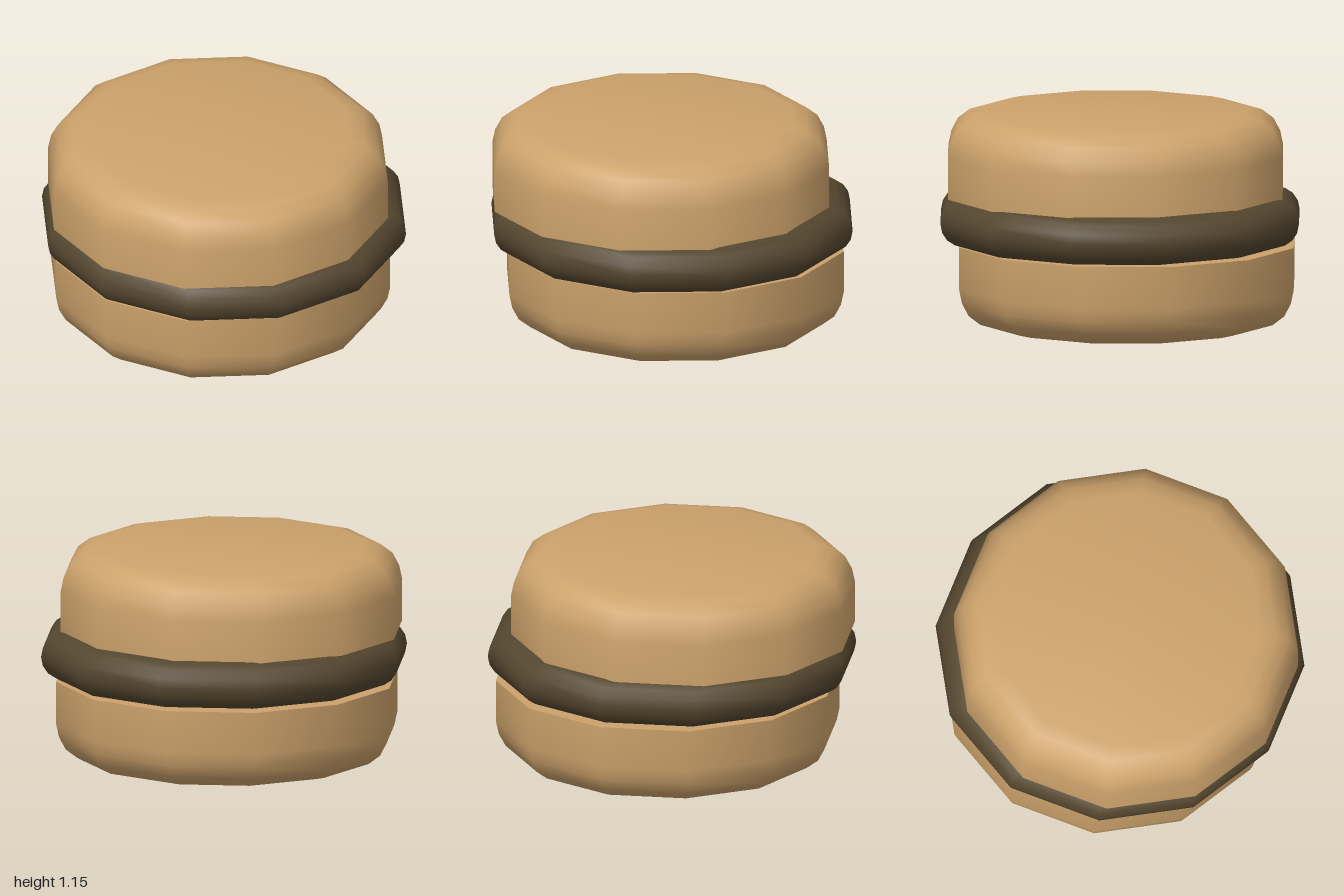
import * as THREE from 'three';
import { toCreasedNormals } from 'three/addons/utils/BufferGeometryUtils.js';

const SIDES = 12;

// Turned solid: profile runs from the bottom centre to the top centre
function turned(name, profile, material) {
  const points = profile.map(([r, y]) => new THREE.Vector2(r, y));
  const geometry = toCreasedNormals(new THREE.LatheGeometry(points, SIDES), 0.85);
  const mesh = new THREE.Mesh(geometry, material);
  mesh.name = name;
  return mesh;
}

export function createModel() {
  const group = new THREE.Group();
  group.name = 'sandwichCookie';
  const biscuit = new THREE.MeshStandardMaterial({ color: 0xcca26b });
  const cream = new THREE.MeshStandardMaterial({ color: 0x54462f });

  // Biscuit half: flat inner face, straight wall, rounded outer rim
  const half = [
    [0, 0], [0.933, 0], [0.933, 0.23], [0.917, 0.305], [0.88, 0.375],
    [0.815, 0.425], [0.73, 0.447], [0, 0.447],
  ];
  const topBiscuit = turned('topBiscuit', half, biscuit);
  topBiscuit.position.set(-0.06, 0.7, 0.01);

  // Lower half is the same shape turned over
  const bottomBiscuit = turned('bottomBiscuit', half, biscuit);
  bottomBiscuit.rotation.x = Math.PI;
  bottomBiscuit.position.set(0.01, 0.447, -0.035);

  // Filling: flat disc with a half-round edge
  const radius = 0.13;
  const edge = [[0, 0.45]];
  for (let i = 0; i <= 8; i++) {
    const a = -Math.PI / 2 + (i / 8) * Math.PI;
    edge.push([1 - radius + radius * Math.cos(a), 0.58 + radius * Math.sin(a)]);
  }
  edge.push([0, 0.71]);
  const filling = turned('filling', edge, cream);

  group.add(topBiscuit, filling, bottomBiscuit);
  return group;
}
